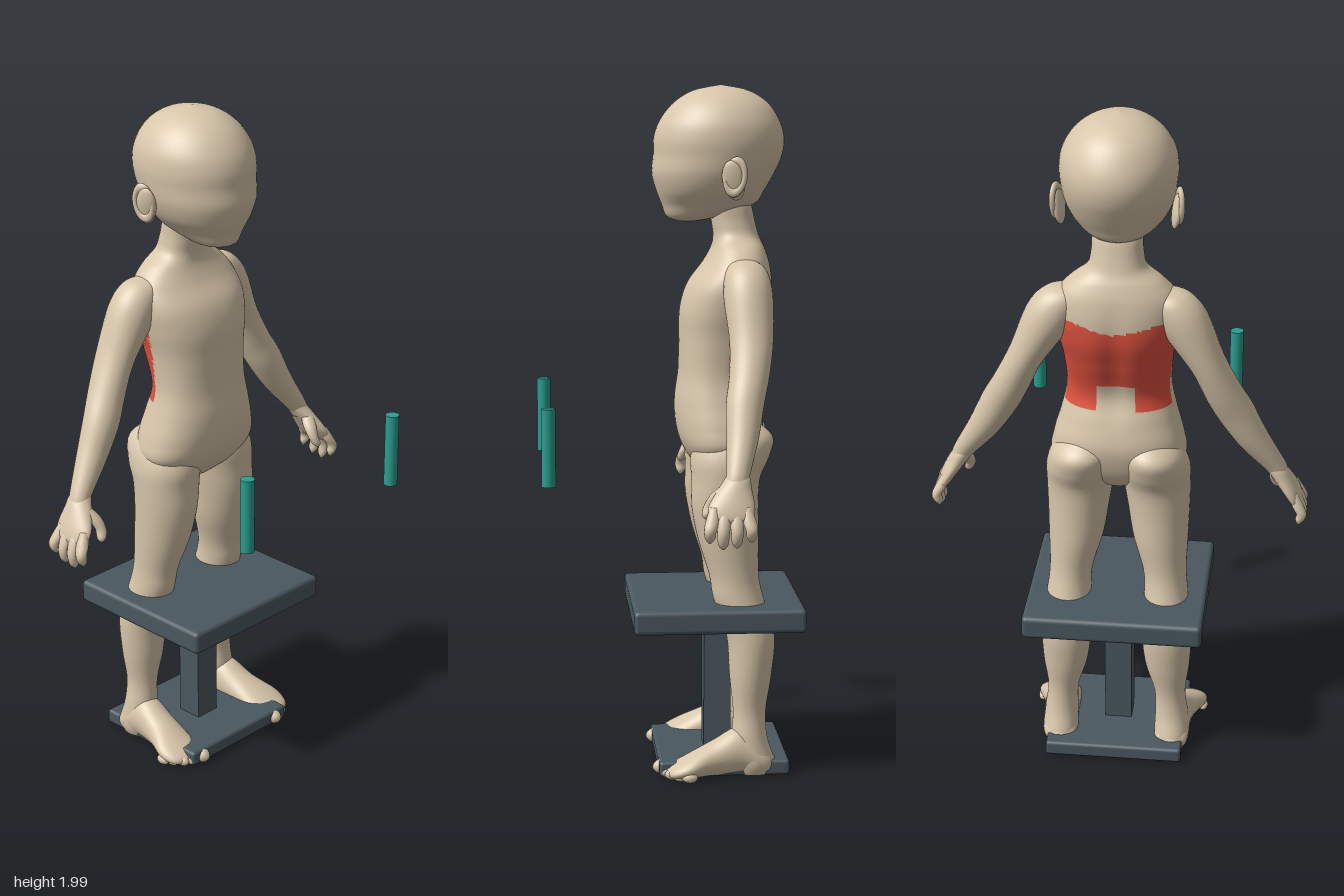
import * as THREE from 'three';
import { RoundedBoxGeometry } from 'three/addons/geometries/RoundedBoxGeometry.js';

const mat = (name, color) => {
  const m = new THREE.MeshStandardMaterial({ color });
  m.name = name;
  return m;
};

const X = new THREE.Vector3(1, 0, 0);
const Y = new THREE.Vector3(0, 1, 0);
const Z = new THREE.Vector3(0, 0, 1);

// Smooth value of every column of rows at position t (in row units)
function sample(rows, t) {
  const i = Math.min(Math.floor(t), rows.length - 2), f = t - i;
  const at = (k) => rows[Math.max(0, Math.min(rows.length - 1, k))];
  return rows[0].map((_, c) => {
    const p0 = at(i - 1)[c], p1 = at(i)[c], p2 = at(i + 1)[c], p3 = at(i + 2)[c];
    return p1 + 0.5 * f * (p2 - p0 + f * (2 * p0 - 5 * p1 + 4 * p2 - p3 + f * (3 * (p1 - p2) + p3 - p0)));
  });
}

// Closed smooth skin through cross-sections [x, y, z, halfU, halfV]; side -1 mirrors it.
function loft(rows, u, v, { side = 1, around = 32, steps = 5, power = 2, bend, isSecond } = {}) {
  const pos = [], main = [], second = [];
  const rings = (rows.length - 1) * steps + 1;
  const put = (p) => { if (bend) bend(p); pos.push(p.x * side, p.y, p.z); };
  const round = (w) => Math.sign(w) * Math.pow(Math.abs(w), 2 / power);
  for (let r = 0; r < rings; r++) {
    const [x, y, z, a, b] = sample(rows, r / steps);
    for (let k = 0; k < around; k++) {
      const t = (k / around) * Math.PI * 2;
      put(new THREE.Vector3(x, y, z)
        .addScaledVector(u, Math.max(a, 0.002) * round(Math.cos(t)))
        .addScaledVector(v, Math.max(b, 0.002) * round(Math.sin(t))));
    }
  }
  const first = rows[0], last = rows[rows.length - 1];
  put(new THREE.Vector3(...first.slice(0, 3)));
  put(new THREE.Vector3(...last.slice(0, 3)));
  const axis = new THREE.Vector3(last[0] - first[0], last[1] - first[1], last[2] - first[2]);
  const flip = new THREE.Vector3().crossVectors(u, v).dot(axis) * side < 0;
  const tri = (a, b, c) => {
    const mid = [0, 1, 2].map((n) => (pos[a * 3 + n] + pos[b * 3 + n] + pos[c * 3 + n]) / 3);
    (isSecond && isSecond(...mid) ? second : main).push(...(flip ? [a, c, b] : [a, b, c]));
  };
  const end = (rings - 1) * around, capA = rings * around;
  for (let k = 0; k < around; k++) {
    const n = (k + 1) % around;
    for (let r = 0; r < rings - 1; r++) {
      const p = r * around;
      tri(p + k, p + n, p + around + n);
      tri(p + k, p + around + n, p + around + k);
    }
    tri(capA, n, k);
    tri(capA + 1, end + k, end + n);
  }
  const g = new THREE.BufferGeometry();
  g.setAttribute('position', new THREE.Float32BufferAttribute(pos, 3));
  g.setIndex([...main, ...second]);
  if (isSecond) {
    g.addGroup(0, main.length, 0);
    g.addGroup(main.length, second.length, 1);
  }
  g.computeVertexNormals();
  return g;
}

export function createModel() {
  const model = new THREE.Group();
  const skin = mat('bodyBeige', 0xd8c6aa);
  const red = mat('backRed', 0xe0523f);
  const slate = mat('benchSlate', 0x4a5860);
  const teal = mat('handleTeal', 0x2a9d8f);
  const add = (name, geo, material, x = 0, y = 0, z = 0) => {
    const m = new THREE.Mesh(geo, material);
    m.name = name;
    m.position.set(x, y, z);
    model.add(m);
    return m;
  };

  // Torso and neck, with a shallow spine groove and the coloured back area
  const torso = [
    [0, 0.88, -0.16, 0.04, 0.05], [0, 0.92, -0.155, 0.145, 0.09], [0, 0.97, -0.15, 0.193, 0.115],
    [0, 1.03, -0.147, 0.187, 0.127], [0, 1.1, -0.138, 0.167, 0.12], [0, 1.18, -0.133, 0.15, 0.105],
    [0, 1.28, -0.15, 0.155, 0.12], [0, 1.36, -0.164, 0.171, 0.131], [0, 1.43, -0.177, 0.18, 0.122],
    [0, 1.49, -0.195, 0.168, 0.096], [0, 1.535, -0.2, 0.13, 0.077], [0, 1.57, -0.195, 0.085, 0.066],
    [0, 1.61, -0.187, 0.073, 0.063], [0, 1.66, -0.178, 0.07, 0.06], [0, 1.7, -0.17, 0.06, 0.05],
  ];
  const spine = (p) => {
    if (p.z < -0.2 && p.y > 1.08 && p.y < 1.5) {
      p.z += 0.012 * Math.exp(-((p.x / 0.035) ** 2)) * Math.sin(((p.y - 1.08) / 0.42) * Math.PI);
    }
  };
  const onBack = (x, y, z) =>
    z < -0.165 && y > (Math.abs(x) < 0.055 ? 1.215 : 1.135) && y < 1.4 + 0.25 * Math.min(Math.abs(x), 0.12);
  add('torso', loft(torso, X, Z, { around: 80, steps: 8, power: 2.3, bend: spine, isSecond: onBack }), [skin, red]);

  // Head
  const head = [
    [0, 1.612, -0.055, 0.02, 0.025], [0, 1.625, -0.07, 0.06, 0.075], [0, 1.66, -0.113, 0.095, 0.133],
    [0, 1.7, -0.12, 0.13, 0.156], [0, 1.75, -0.128, 0.152, 0.177], [0, 1.8, -0.141, 0.16, 0.186],
    [0, 1.85, -0.145, 0.163, 0.188], [0, 1.9, -0.147, 0.153, 0.172], [0, 1.95, -0.15, 0.12, 0.135],
    [0, 1.985, -0.15, 0.068, 0.078], [0, 2.0, -0.15, 0.004, 0.004],
  ];
  add('head', loft(head, X, Z, { around: 56, steps: 6 }), skin);

  // Limb sections on the left side
  const leg = [
    [0.09, 1.05, -0.17, 0.05, 0.06], [0.1, 1.0, -0.185, 0.086, 0.109], [0.107, 0.94, -0.17, 0.1, 0.114],
    [0.112, 0.88, -0.158, 0.097, 0.1], [0.117, 0.8, -0.155, 0.09, 0.097], [0.124, 0.7, -0.165, 0.08, 0.088],
    [0.137, 0.6, -0.18, 0.064, 0.072], [0.143, 0.53, -0.193, 0.064, 0.073], [0.148, 0.42, -0.228, 0.074, 0.07],
    [0.152, 0.3, -0.228, 0.066, 0.061], [0.16, 0.2, -0.225, 0.046, 0.048], [0.166, 0.12, -0.225, 0.049, 0.052],
    [0.168, 0.05, -0.238, 0.052, 0.06], [0.168, 0.013, -0.238, 0.04, 0.048],
  ];
  const foot = [
    [0.168, 0.045, -0.298, 0.015, 0.015], [0.168, 0.05, -0.27, 0.048, 0.04], [0.17, 0.08, -0.2, 0.052, 0.07],
    [0.178, 0.062, -0.12, 0.055, 0.052], [0.193, 0.044, -0.05, 0.066, 0.034], [0.193, 0.03, 0, 0.055, 0.02],
    [0.18, 0.026, 0.02, 0.03, 0.01],
  ];
  const toes = [[0.158, 0.022, 0.024], [0.19, 0.015, 0.017], [0.213, 0.002, 0.016], [0.232, -0.02, 0.015], [0.248, -0.045, 0.015]];
  const arm = [
    [0.12, 1.5, -0.205, 0.03, 0.04], [0.15, 1.475, -0.21, 0.057, 0.06], [0.19, 1.415, -0.212, 0.068, 0.07],
    [0.255, 1.295, -0.215, 0.051, 0.062], [0.3, 1.2, -0.205, 0.052, 0.057], [0.337, 1.13, -0.19, 0.053, 0.054],
    [0.388, 1.04, -0.178, 0.044, 0.045], [0.45, 0.95, -0.16, 0.03, 0.033], [0.465, 0.92, -0.155, 0.026, 0.032],
  ];
  const palm = [
    [0.44, 0.965, -0.162, 0.022, 0.024], [0.455, 0.94, -0.158, 0.03, 0.035], [0.472, 0.91, -0.148, 0.03, 0.048],
    [0.495, 0.87, -0.138, 0.026, 0.064], [0.51, 0.84, -0.136, 0.02, 0.062], [0.515, 0.825, -0.136, 0.01, 0.05],
  ];
  const fingers = [[-0.09, -0.076, 0.018], [-0.118, -0.112, 0], [-0.15, -0.15, 0.004], [-0.178, -0.19, 0.02]];
  const armAcross = new THREE.Vector3(0.89, 0.45, 0).normalize();

  for (const side of [1, -1]) {
    const tag = side > 0 ? 'left' : 'right';
    add(tag + 'Leg', loft(leg, X, Z, { side, around: 40 }), skin);
    add(tag + 'Foot', loft(foot, X, Y, { side }), skin);
    toes.forEach(([x, z, r]) => {
      const toe = add(tag + 'Toe', new THREE.SphereGeometry(r, 16, 12), skin, x * side, 0.008 + r, z);
      toe.scale.z = 1.5;
    });

    add(tag + 'Arm', loft(arm, armAcross, Z, { side }), skin);
    add(tag + 'Palm', loft(palm, X, Z, { side }), skin);
    fingers.forEach(([z0, z1, lift]) => {
      const rows = [
        [0.503, 0.87, z0, 0.012, 0.012], [0.518, 0.835, (z0 + z1) / 2, 0.017, 0.019],
        [0.53, 0.8 + lift / 2, z1, 0.015, 0.017], [0.526, 0.77 + lift, z1, 0.013, 0.014],
        [0.522, 0.755 + lift, z1, 0.003, 0.003],
      ];
      add(tag + 'Finger', loft(rows, X, Z, { side, around: 14 }), skin);
    });
    const thumb = [
      [0.468, 0.925, -0.13, 0.014, 0.016], [0.454, 0.895, -0.105, 0.02, 0.022], [0.447, 0.865, -0.083, 0.016, 0.017],
      [0.453, 0.84, -0.073, 0.013, 0.014], [0.456, 0.828, -0.07, 0.003, 0.003],
    ];
    add(tag + 'Thumb', loft(thumb, X, Z, { side, around: 14 }), skin);

    // Ear: leaning disc with a raised rim
    const ear = add(tag + 'Ear', new THREE.SphereGeometry(1, 20, 16), skin, side * 0.163, 1.737, -0.172);
    ear.scale.set(0.014, 0.058, 0.032);
    const rim = add(tag + 'EarRim', new THREE.TorusGeometry(0.027, 0.008, 10, 28), skin, side * 0.169, 1.747, -0.176);
    rim.scale.set(1, 1.65, 1);
    ear.rotation.set(0.15, side * -0.3, side * -0.16);
    rim.rotation.set(0, side * (Math.PI / 2 - 0.3), side * -0.16);

    // Free-standing grip
    add(tag + 'Handle', new THREE.CylinderGeometry(0.02, 0.02, 0.22, 24), teal, side * 0.302, 1.005, 0.357);
  }

  // Bench: seat, post and base plate
  add('seat', new RoundedBoxGeometry(0.524, 0.07, 0.496, 3, 0.014), slate, 0, 0.484, -0.132);
  add('post', new THREE.BoxGeometry(0.08, 0.42, 0.08), slate, 0, 0.25, -0.142);
  add('base', new RoundedBoxGeometry(0.405, 0.045, 0.38, 3, 0.01), slate, 0, 0.034, -0.15);
  return model;
}
